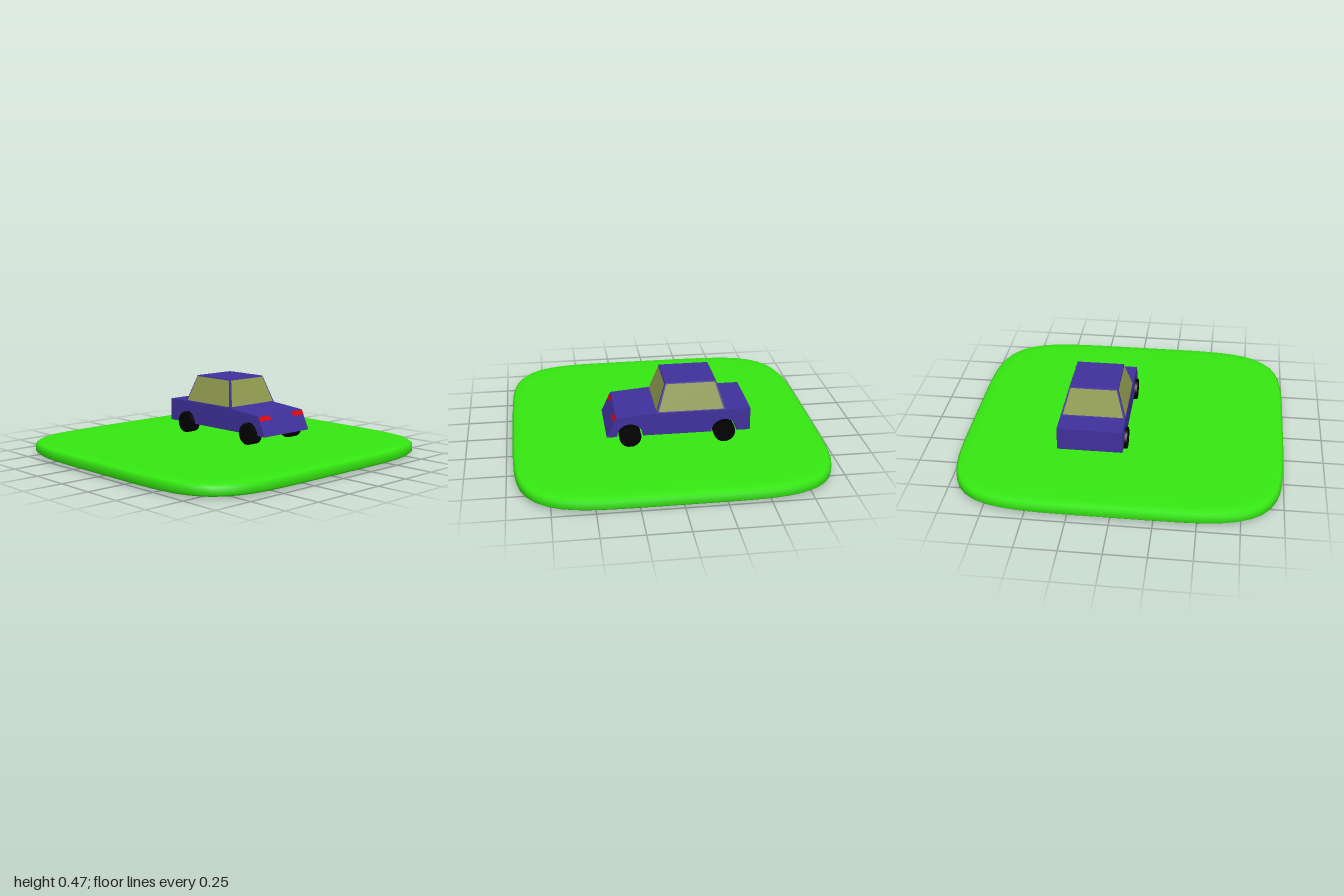
import * as THREE from 'three';
import { mergeVertices } from 'three/addons/utils/BufferGeometryUtils.js';

const material = (name, color, side = THREE.FrontSide) =>
  Object.assign(new THREE.MeshStandardMaterial({ color, side }), { name });

export function createModel() {
  const grass = material('grass green', 0x37ee12);
  const paint = material('purple paint', 0x40309c);
  const glass = material('olive glass', 0x909b4f, THREE.DoubleSide);
  const rubber = material('black rubber', 0x000000);
  const red = material('red light', 0xff0000, THREE.DoubleSide);

  const model = new THREE.Group();
  const add = (name, geometry, mat, parent = model) => {
    const mesh = new THREE.Mesh(geometry, mat);
    mesh.name = name;
    parent.add(mesh);
    return mesh;
  };

  // Ground slab: a lathe pulled out into a rounded square
  const profile = [[0, 0], [0.75, 0.002], [0.93, 0.005], [0.985, 0.012], [1, 0.026],
    [1, 0.066], [0.985, 0.08], [0.93, 0.087], [0.75, 0.09], [0, 0.091]];
  let slab = new THREE.LatheGeometry(profile.map(([r, y]) => new THREE.Vector2(r, y)), 96);
  const p = slab.attributes.position;
  const n = 5.1;
  for (let i = 0; i < p.count; i++) {
    const x = p.getX(i), z = p.getZ(i), r = Math.hypot(x, z);
    if (r < 1e-6) continue;
    const k = Math.pow(Math.pow(Math.abs(x / r), n) + Math.pow(Math.abs(z / r), n), -1 / n);
    p.setX(i, x * k * 0.96);
    p.setZ(i, z * k);
  }
  slab.deleteAttribute('uv');
  slab.deleteAttribute('normal');
  slab = mergeVertices(slab);
  slab.computeVertexNormals();
  add('ground', slab, grass);

  // Car, centred on its own z axis, nose towards +x
  const car = new THREE.Group();
  car.name = 'car';
  car.position.z = -0.176;
  model.add(car);
  const half = 0.2, floor = 0.154, wheelXs = [-0.336, 0.245];

  // Body side profile with wheel arches cut through
  const side = new THREE.Shape();
  side.moveTo(-0.497, 0.297);
  side.lineTo(-0.497, floor);
  for (const x of wheelXs) side.absarc(x, floor, 0.079, Math.PI, 0, true);
  side.lineTo(0.388, floor);
  side.lineTo(0.328, 0.277);
  side.lineTo(0.083, 0.297);
  side.closePath();
  const body = new THREE.ExtrudeGeometry(side, { depth: half * 2, bevelEnabled: false, curveSegments: 20 });
  body.translate(0, 0, -half);
  add('body', body, paint, car);

  // Cabin corners: base and roof rectangles
  const V = (x, y, z) => new THREE.Vector3(x, y, z);
  const corners = (x0, x1, y, z) => [V(x0, y, z), V(x1, y, z), V(x1, y, -z), V(x0, y, -z)];
  const base = corners(-0.343, 0.082, 0.296, 0.198);
  const roof = corners(-0.286, 0.023, 0.471, 0.147);

  const cabin = new THREE.BoxGeometry(2, 2, 2);
  const c = cabin.attributes.position;
  for (let i = 0; i < c.count; i++) {
    const right = c.getX(i) > 0, front = c.getZ(i) > 0;
    const v = (c.getY(i) > 0 ? roof : base)[front ? (right ? 1 : 0) : (right ? 2 : 3)];
    c.setXYZ(i, v.x, v.y, v.z);
  }
  cabin.computeVertexNormals();
  add('cabin', cabin, paint, car);

  // A thin panel laid just over the face a-b-c-d, between fractions u and v
  const panel = (a, b, cc, d, [u0, u1], [v0, v1]) => {
    const lift = b.clone().sub(a).cross(d.clone().sub(a)).normalize().multiplyScalar(0.003);
    const at = (u, v) => a.clone().lerp(b, u).lerp(d.clone().lerp(cc, u), v).add(lift);
    const q = [at(u0, v0), at(u1, v0), at(u1, v1), at(u0, v1)];
    const g = new THREE.BufferGeometry().setFromPoints([q[0], q[1], q[2], q[0], q[2], q[3]]);
    g.computeVertexNormals();
    return g;
  };

  // Windows on all four sides
  ['leftWindow', 'windscreen', 'rightWindow', 'rearWindow'].forEach((name, i) => {
    const j = (i + 1) % 4;
    add(name, panel(base[i], base[j], roof[j], roof[i], [0.025, 0.975], [0.04, 0.96]), glass, car);
  });

  // Lights on the sloping nose
  const nose = [V(0.388, floor, half), V(0.388, floor, -half), V(0.328, 0.277, -half), V(0.328, 0.277, half)];
  for (const span of [[0.005, 0.25], [0.75, 0.995]]) {
    add('light', panel(...nose, span, [0.75, 0.96]), red, car);
  }

  // Wheels
  const tyre = new THREE.CylinderGeometry(0.067, 0.067, 0.07, 32).rotateX(Math.PI / 2);
  for (const x of wheelXs) {
    for (const s of [1, -1]) add('wheel', tyre, rubber, car).position.set(x, 0.156, s * 0.181);
  }
  return model;
}
